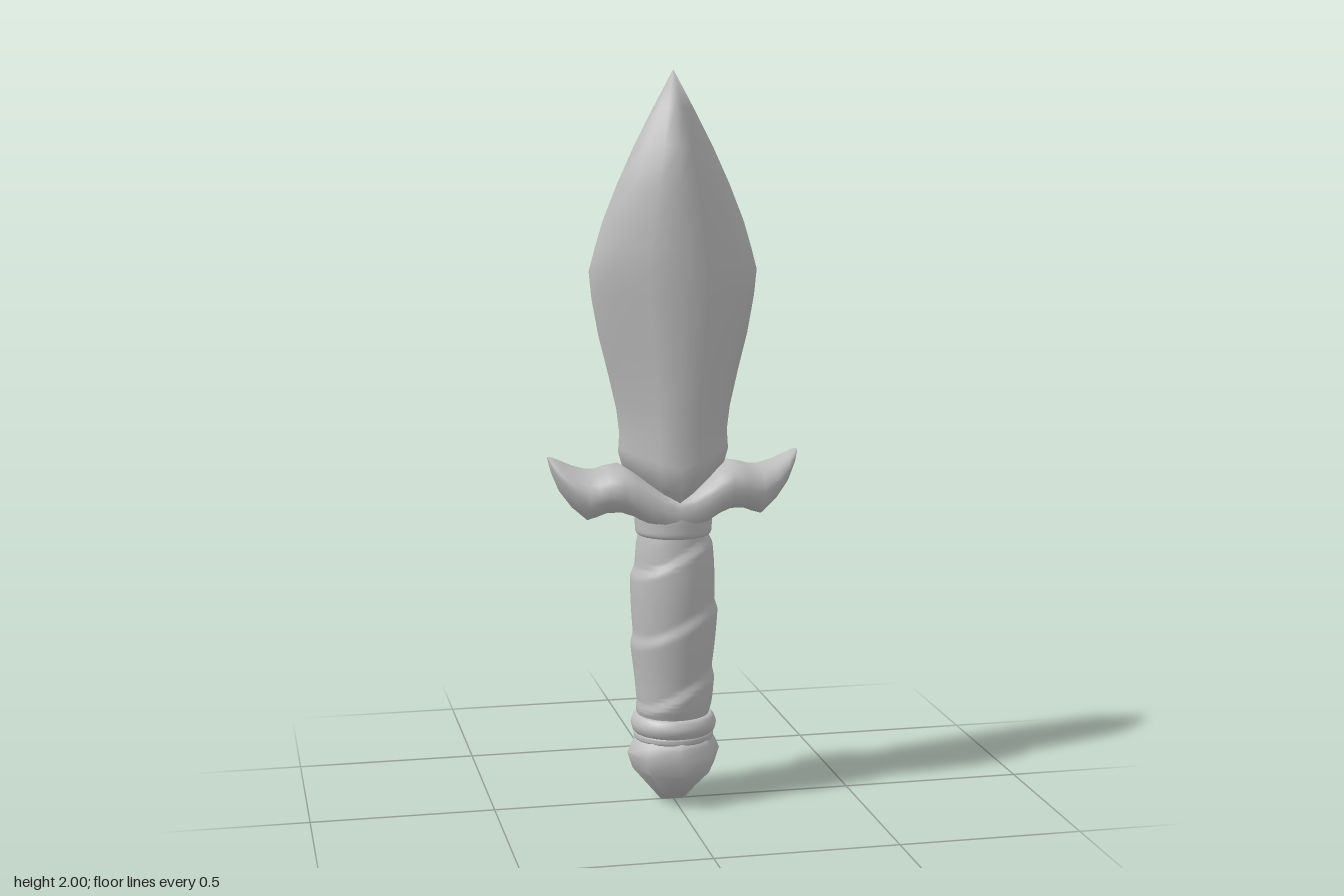
import * as THREE from 'three';
import { toCreasedNormals } from 'three/addons/utils/BufferGeometryUtils.js';

// Skin a list of equal-length rings of [x, y, z] points and cap both ends.
function loft(rings, crease) {
  const n = rings[0].length;
  const points = rings.flat();
  const index = [];
  for (let i = 0; i < rings.length - 1; i++) {
    for (let j = 0; j < n; j++) {
      const a = i * n + j, b = i * n + (j + 1) % n;
      index.push(a, a + n, b, b, a + n, b + n);
    }
  }
  const last = rings.length - 1;
  [0, last].forEach((r) => {
    const centre = [0, 1, 2].map((k) => rings[r].reduce((s, p) => s + p[k], 0) / n);
    const c = points.push(centre) - 1;
    for (let j = 0; j < n; j++) {
      const a = r * n + j, b = r * n + (j + 1) % n;
      if (r === 0) index.push(c, a, b); else index.push(c, b, a);
    }
  });
  const geo = new THREE.BufferGeometry();
  geo.setAttribute('position', new THREE.Float32BufferAttribute(points.flat(), 3));
  geo.setIndex(index);
  return toCreasedNormals(geo, crease);
}

export function createModel() {
  const group = new THREE.Group();
  const grey = new THREE.MeshStandardMaterial({ color: 0xbcbcbc });
  grey.name = 'grey';
  const add = (name, geo) => {
    const mesh = new THREE.Mesh(geo, grey);
    mesh.name = name;
    group.add(mesh);
  };

  // Blade: bevelled diamond sections [y, half width, half depth, rise towards the edges]
  const bladeRows = [
    [0.84, 0.135, 0.085, 0.6], [0.92, 0.152, 0.115, 0.4], [0.945, 0.152, 0.113, 0.3],
    [1.02, 0.149, 0.11, 0.1], [1.1, 0.157, 0.109, 0], [1.2, 0.18, 0.108, 0],
    [1.3, 0.205, 0.107, 0], [1.4, 0.223, 0.106, 0], [1.47, 0.23, 0.105, 0],
    [1.53, 0.214, 0.103, 0], [1.6, 0.193, 0.1, 0], [1.7, 0.153, 0.095, 0],
    [1.8, 0.107, 0.085, 0], [1.9, 0.055, 0.043, 0], [2, 0.0005, 0.0005, 0],
  ];
  const section = [
    [1, 0], [0.74, 0.37], [0.35, 0.74], [0, 1], [-0.35, 0.74], [-0.74, 0.37],
    [-1, 0], [-0.74, -0.37], [-0.35, -0.74], [0, -1], [0.35, -0.74], [0.74, -0.37],
  ];
  add('blade', loft(bladeRows.map(([y, w, d, k]) =>
    section.map(([x, z]) => [x * w, y + k * Math.abs(x * w), z * d])), 2.2));

  // Guard: rounded sections swept along x, mirrored [x, top, bottom]
  const half = [
    [0, 0.86, 0.775], [0.04, 0.878, 0.777], [0.08, 0.905, 0.788], [0.115, 0.93, 0.808],
    [0.15, 0.95, 0.82], [0.19, 0.944, 0.818], [0.215, 0.937, 0.808], [0.24, 0.938, 0.8],
    [0.28, 0.95, 0.835], [0.315, 0.966, 0.882], [0.335, 0.974, 0.93], [0.345, 0.975, 0.968],
  ];
  const guardRows = [
    ...half.slice(1).reverse().map(([x, t, b]) => [-x, t, b]), ...half,
  ];
  const power = (v, e) => Math.sign(v) * Math.abs(v) ** e;
  add('guard', loft(guardRows.map(([x, top, bottom]) => {
    const u = Math.abs(x) / 0.346;
    const depth = 0.106 * Math.sqrt(1 - u ** 2.5);
    const e = 0.55 + 0.7 * u;
    const ring = [];
    for (let j = 0; j < 24; j++) {
      const a = j / 24 * Math.PI * 2;
      ring.push([x, (top + bottom) / 2 + power(Math.cos(a), e) * (top - bottom) / 2,
        -power(Math.sin(a), e) * depth]);
    }
    return ring;
  }), 1.2));

  // Collar under the guard
  const lathe = (pts) => new THREE.LatheGeometry(
    new THREE.SplineCurve(pts.map((p) => new THREE.Vector2(...p))).getPoints(16), 32);
  add('collar', lathe([[0.085, 0.748], [0.102, 0.757], [0.105, 0.78], [0.103, 0.82], [0.08, 0.84]]));

  // Grip: swelling handle with overlapping spiral wraps, steeper on the front and back
  const gripCurve = new THREE.SplineCurve([[0.092, 0.23], [0.104, 0.28], [0.108, 0.36],
    [0.115, 0.48], [0.115, 0.6], [0.106, 0.7], [0.094, 0.765]].map((p) => new THREE.Vector2(...p)));
  const gripRings = [];
  for (let i = 0; i <= 72; i++) {
    const p = gripCurve.getPoint(i / 72);
    const ring = [];
    for (let j = 0; j < 48; j++) {
      const a = j / 48 * Math.PI * 2;
      const turn = p.y / 0.19 + a / (Math.PI * 2) - 0.08 * Math.sin(2 * a);
      const f = turn - Math.floor(turn);
      const wrap = f < 0.85 ? f / 0.85 : (1 - f) / 0.15;
      const fade = Math.min(1, (0.765 - p.y) / 0.04, (p.y - 0.23) / 0.04);
      const r = p.x + (wrap - 0.4) * 0.009 * fade;
      ring.push([Math.cos(a) * r, p.y, Math.sin(a) * r]);
    }
    gripRings.push(ring);
  }
  add('grip', loft(gripRings, 1));

  // Two rings between the grip and the pommel
  add('upperRing', lathe([[0.085, 0.194], [0.108, 0.198], [0.118, 0.222], [0.108, 0.246], [0.09, 0.25]]));
  add('lowerRing', lathe([[0.08, 0.175], [0.106, 0.18], [0.11, 0.19], [0.106, 0.2], [0.08, 0.205]]));

  // Pommel: softly faceted stone narrowing to a short ridge [y, half width, half depth]
  const pommelRows = [
    [0, 0.035, 0.004], [0.095, 0.115, 0.123], [0.14, 0.13, 0.124],
    [0.172, 0.116, 0.122], [0.188, 0.105, 0.108],
  ];
  add('pommel', loft(pommelRows.map(([y, w, d]) => {
    const ring = [];
    for (let j = 0; j < 8; j++) {
      const a = j / 8 * Math.PI * 2;
      ring.push([Math.cos(a) * w, y, Math.sin(a) * d]);
    }
    return ring;
  }), 0.95));

  return group;
}
